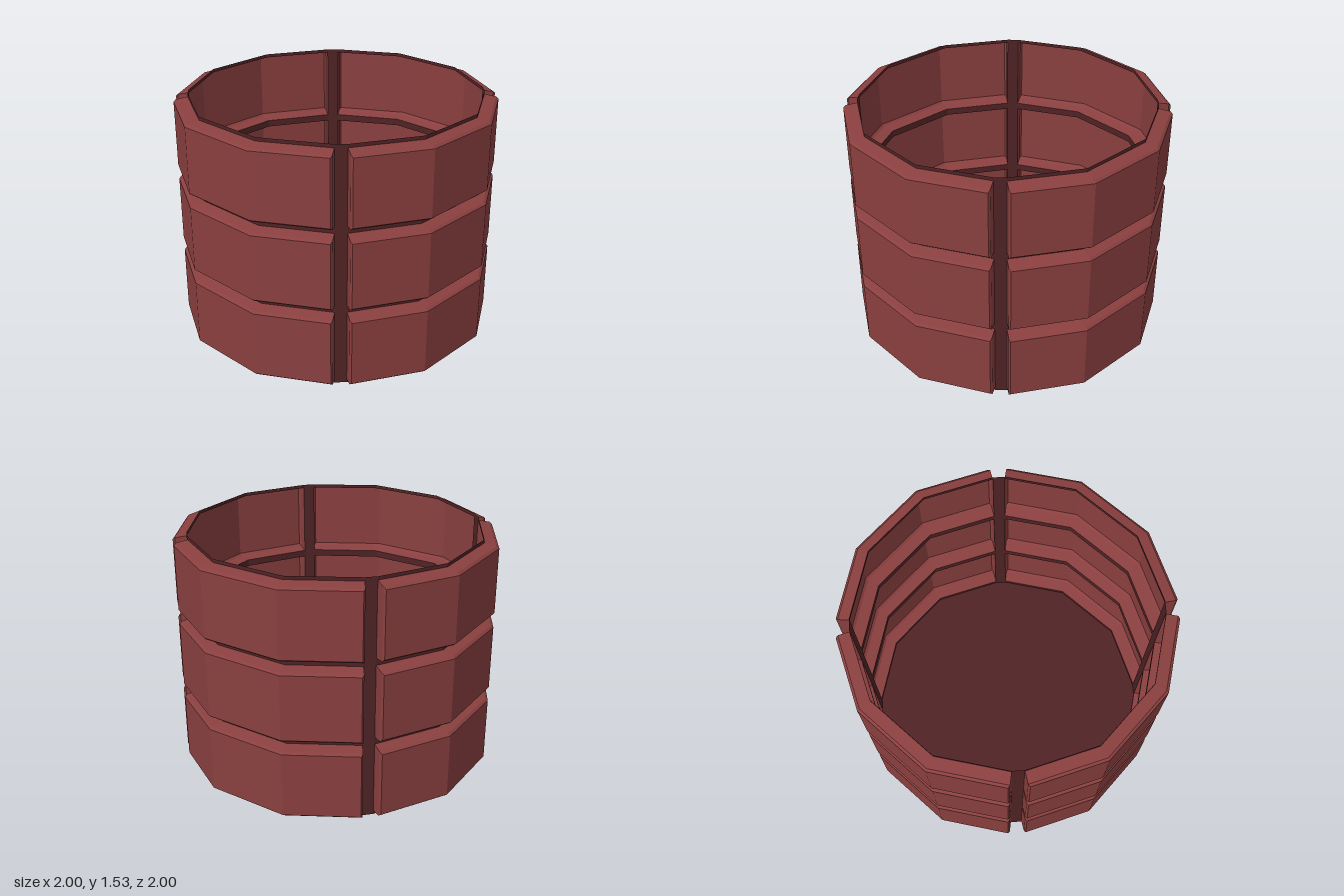
import * as THREE from 'three';

const ROWS = 3, PITCH = 0.51, HEIGHT = 1.53;
const ROW_LOW = 0.023, ROW_HIGH = 0.488;
const CORE_R = 0.925, CORE_GAP = 0.036;

// Quarter of a twelve-sided ring, with its two ends cut back beside the vertical gaps.
function quarterPath(r, gap) {
  const end = r - gap * Math.tan(Math.PI / 12);
  const c = r * Math.cos(Math.PI / 6), s = r / 2;
  return [[end, gap], [c, s], [s, c], [gap, end]];
}

// Closed or open list of quads to a flat-shaded geometry.
function quadGeometry(quads) {
  const pos = [];
  for (const [a, b, c, d] of quads) pos.push(...a, ...b, ...c, ...a, ...c, ...d);
  const g = new THREE.BufferGeometry();
  g.setAttribute('position', new THREE.Float32BufferAttribute(pos, 3));
  g.computeVertexNormals();
  return g;
}

// Raised plate: base outline, bevel outline and face outline joined by loops.
function plateGeometry() {
  const levels = [
    [CORE_R, CORE_GAP, 0],
    [1.0, 0.049, 0.012],
    [1.016, 0.061, 0.025],
  ].map(([r, gap, inset]) => {
    const path = quarterPath(r, gap);
    const at = (y) => path.map(([x, z]) => [x, y, -z]);
    return [...at(ROW_LOW + inset), ...at(ROW_HIGH - inset).reverse()];
  });
  const quads = [];
  for (let l = 0; l < 2; l++) {
    const a = levels[l], b = levels[l + 1];
    for (let i = 0; i < 8; i++) {
      const j = (i + 1) % 8;
      quads.push([a[i], a[j], b[j], b[i]]);
    }
  }
  const f = levels[2];
  for (let i = 0; i < 3; i++) quads.push([f[i], f[i + 1], f[6 - i], f[7 - i]]);
  return quadGeometry(quads);
}

// Full core outline, sixteen points.
function coreOutline() {
  const out = [];
  for (let q = 0; q < 4; q++) {
    for (const [x, z] of quarterPath(CORE_R, CORE_GAP)) {
      const v = new THREE.Vector2(x, z).rotateAround(new THREE.Vector2(), q * Math.PI / 2);
      out.push([v.x, -v.y]);
    }
  }
  return out;
}

export function createModel() {
  const group = new THREE.Group();
  const plateMat = new THREE.MeshStandardMaterial({
    color: 0x8a3f3f, flatShading: true, side: THREE.DoubleSide });
  plateMat.name = 'red brown';
  const coreMat = new THREE.MeshStandardMaterial({
    color: 0x502325, flatShading: true, side: THREE.DoubleSide });
  coreMat.name = 'dark red brown';

  const add = (name, geometry, material) => {
    const mesh = new THREE.Mesh(geometry, material);
    mesh.name = name;
    group.add(mesh);
    return mesh;
  };

  // Three rows of four raised plates
  const plate = plateGeometry();
  for (let row = 0; row < ROWS; row++) {
    for (let q = 0; q < 4; q++) {
      const mesh = add('plate', plate, plateMat);
      mesh.position.y = row * PITCH;
      mesh.rotation.y = q * Math.PI / 2;
    }
  }

  // Recessed horizontal bands between the rows
  const outline = coreOutline();
  const wall = (i, lo, hi) => {
    const [x0, z0] = outline[i], [x1, z1] = outline[(i + 1) % 16];
    return [[x0, lo, z0], [x1, lo, z1], [x1, hi, z1], [x0, hi, z0]];
  };
  const bands = [];
  for (let k = 0; k <= ROWS; k++) {
    const lo = k === 0 ? 0 : (k - 1) * PITCH + ROW_HIGH;
    const hi = k === ROWS ? HEIGHT : k * PITCH + ROW_LOW;
    for (let i = 0; i < 16; i++) bands.push(wall(i, lo, hi));
  }
  add('grooveBands', quadGeometry(bands), coreMat);

  // Recessed vertical strips between the plates
  const strips = [];
  for (let k = 0; k < ROWS; k++) {
    for (let i = 3; i < 16; i += 4) {
      strips.push(wall(i, k * PITCH + ROW_LOW, k * PITCH + ROW_HIGH));
    }
  }
  add('grooveStrips', quadGeometry(strips), coreMat);

  // Floor, facing down
  const shape = new THREE.Shape(outline.map(([x, z]) => new THREE.Vector2(x, z)));
  const floor = new THREE.ShapeGeometry(shape);
  floor.rotateX(Math.PI / 2);
  add('floor', floor, coreMat);

  return group;
}
